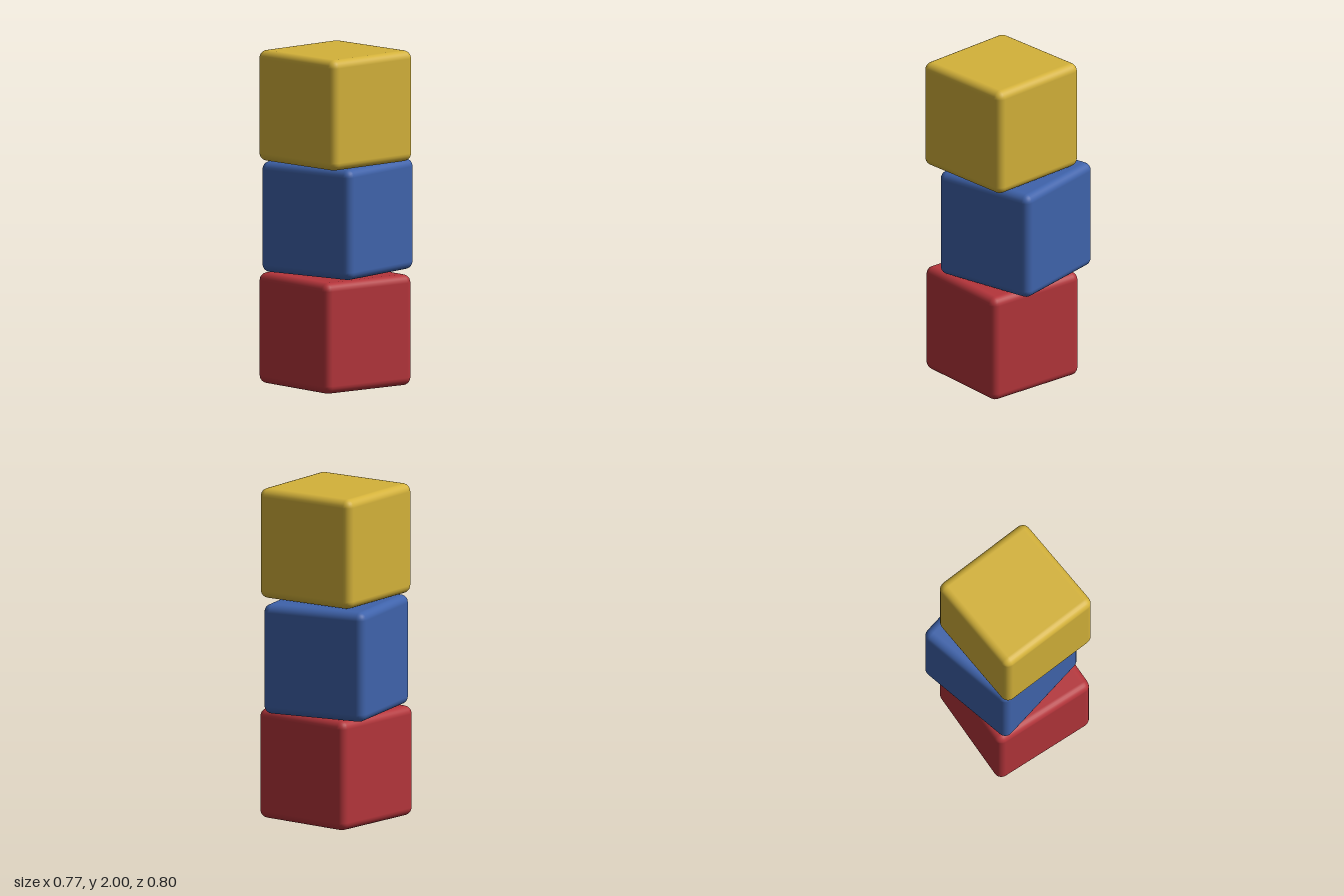
import * as THREE from 'three';
import { RoundedBoxGeometry } from 'three/addons/geometries/RoundedBoxGeometry.js';

const SIZE = 0.663;              // edge length of each cube
const PITCH = (2 - SIZE) / 2;    // vertical spacing, leaving a hairline gap

// Bottom to top: colour, offset in x and z, and twist about the vertical
const BLOCKS = [
  { name: 'bottomBlock', color: 0xb5353b, x: 0.012, z: 0.03, turn: -0.152 },
  { name: 'middleBlock', color: 0x3f63ab, x: -0.032, z: -0.04, turn: 0.107 },
  { name: 'topBlock', color: 0xd4b23a, x: 0.017, z: 0.033, turn: -0.067 },
];

export function createModel() {
  const model = new THREE.Group();
  model.name = 'stackedBlocks';

  // One soft-edged cube shape shared by the whole stack
  const cube = new RoundedBoxGeometry(SIZE, SIZE, SIZE, 3, 0.048);

  BLOCKS.forEach(({ name, color, x, z, turn }, i) => {
    const block = new THREE.Mesh(cube, new THREE.MeshStandardMaterial({ color }));
    block.name = name;
    block.position.set(x, SIZE / 2 + i * PITCH, z);
    block.rotation.y = turn;
    model.add(block);
  });

  return model;
}
